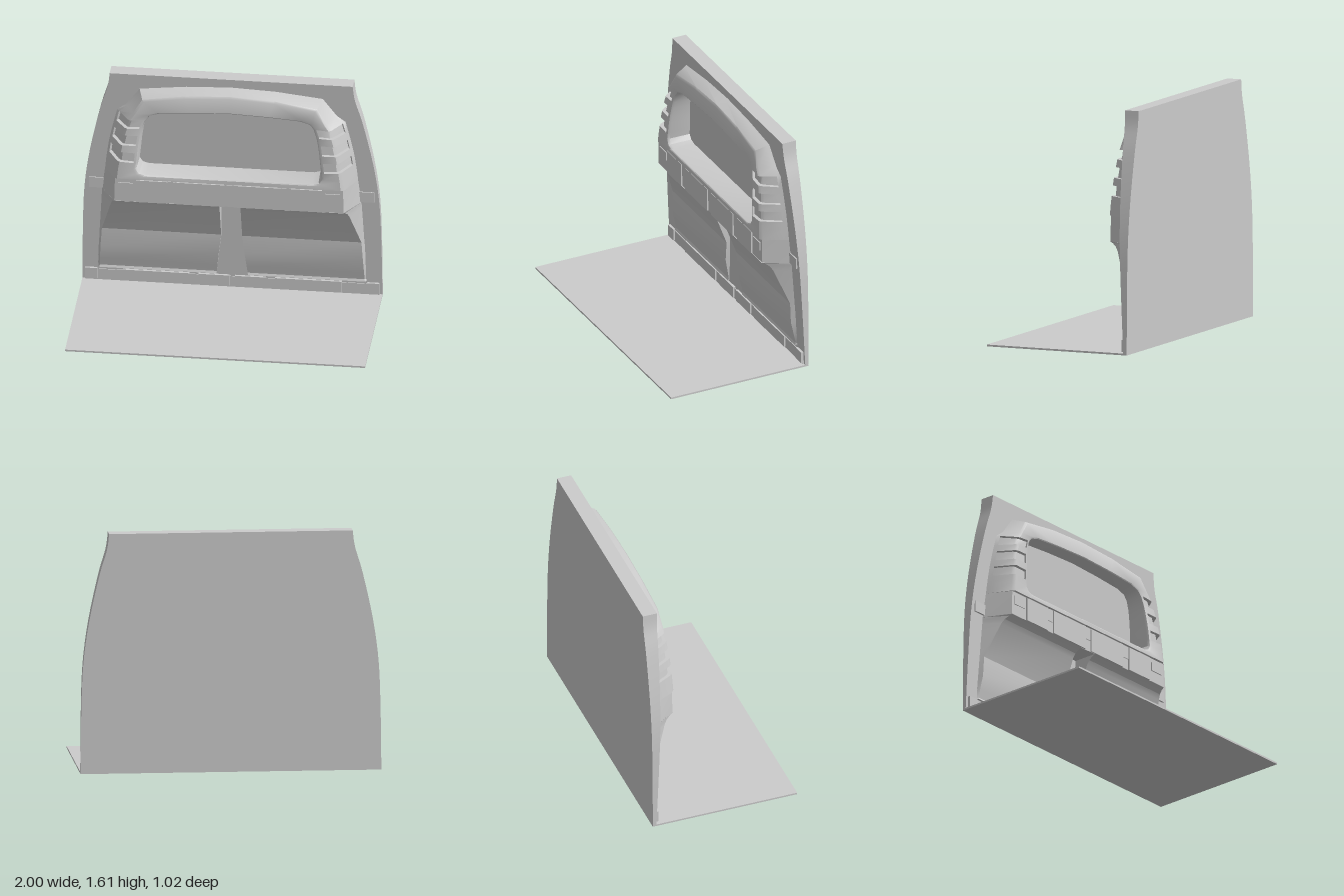
import * as THREE from 'three';
import { toCreasedNormals } from 'three/addons/utils/BufferGeometryUtils.js';

const mat = new THREE.MeshStandardMaterial({ color: 0xcccccc });
const shellMat = new THREE.MeshStandardMaterial({ color: 0xcccccc, side: THREE.DoubleSide });

// Sloping front face of the back wall
const wallZ = (y) => -0.485 + 0.0466 * y;

// Piecewise-linear lookup in [[y, value], ...]
function lookup(table, y) {
  for (let i = 1; i < table.length; i++) {
    const [y0, a] = table[i - 1], [y1, b] = table[i];
    if (y <= y1) return a + (b - a) * Math.max(0, (y - y0) / (y1 - y0));
  }
  return table[table.length - 1][1];
}

// Collects quads into one surface
class Surface {
  constructor() { this.pos = []; }
  quad(a, b, c, d) { this.pos.push(...a, ...b, ...c, ...a, ...c, ...d); }
  mesh(name, crease = 0.5) {
    const g = new THREE.BufferGeometry();
    g.setAttribute('position', new THREE.Float32BufferAttribute(this.pos, 3));
    const m = new THREE.Mesh(toCreasedNormals(g, crease), shellMat);
    m.name = name;
    return m;
  }
}

function box(name, x0, x1, y0, y1, z0, z1) {
  const m = new THREE.Mesh(new THREE.BoxGeometry(x1 - x0, y1 - y0, z1 - z0), mat);
  m.position.set((x0 + x1) / 2, (y0 + y1) / 2, (z0 + z1) / 2);
  m.name = name;
  return m;
}

// Tapered wall with curved sides
function makeWall() {
  const side = new THREE.SplineCurve([[1, 0], [0.995, 0.4], [0.982, 0.73], [0.943, 1.02], [0.875, 1.33],
    [0.825, 1.5], [0.81, 1.61]].map(([x, y]) => new THREE.Vector2(x, y))).getPoints(24);
  const mirror = side.map((p) => new THREE.Vector2(-p.x, p.y)).reverse();
  const raw = new THREE.ExtrudeGeometry(new THREE.Shape([...side, ...mirror]), { depth: 1, bevelEnabled: false });
  const p = raw.attributes.position;
  for (let i = 0; i < p.count; i++) p.setZ(i, p.getZ(i) > 0.5 ? wallZ(p.getY(i)) : -0.51);
  const m = new THREE.Mesh(toCreasedNormals(raw, 0.4), mat);
  m.name = 'backWall';
  return m;
}

// Half outlines with matching points: bottom centre, up the side, to top centre
const windowHalf = [[0, 0.93], [0.55, 0.93], [0.592, 0.942], [0.612, 0.975], [0.607, 1.02], [0.6, 1.09], [0.595, 1.14],
  [0.585, 1.21], [0.575, 1.26], [0.555, 1.32], [0.525, 1.355], [0.46, 1.375], [0.25, 1.39], [0, 1.4]];
const frontHalf = [[0, 0.89], [0.6, 0.89], [0.76, 0.89], [0.75, 0.96], [0.74, 1.02], [0.73, 1.09], [0.72, 1.14],
  [0.705, 1.21], [0.69, 1.26], [0.67, 1.32], [0.64, 1.365], [0.58, 1.465], [0.3, 1.507], [0, 1.522]];
const baseHalf = [[0, 0.89], [0.6, 0.89], [0.845, 0.89], [0.838, 0.96], [0.83, 1.02], [0.82, 1.09], [0.81, 1.14],
  [0.795, 1.21], [0.783, 1.26], [0.765, 1.335], [0.705, 1.38], [0.612, 1.505], [0.3, 1.54], [0, 1.553]];
const ventCells = [4, 6, 8];
const frontZ = (y) => lookup([[0.89, -0.27], [1.1, -0.28], [1.52, -0.322]], y);

// Raised window surround with three recessed vents on each side
function makeFrame() {
  const ring = (half, z) => {
    const right = half.map(([x, y]) => [x, y, z(y)]);
    return [...right, ...right.slice(1, -1).reverse().map(([x, y, d]) => [-x, y, d])];
  };
  const grow = (k) => windowHalf.map(([x, y]) => [x * (1 + k), 1.16 + (y - 1.16) * (1 + k)]);
  const blend = (a, b, t) => a.map((p, i) => p.map((v, j) => v + (b[i][j] - v) * t));
  const front = ring(frontHalf, frontZ);
  const base = ring(baseHalf, (y) => wallZ(y) - 0.005);
  const rings = [
    ring(windowHalf, (y) => wallZ(y) - 0.005),
    ring(grow(0.008), (y) => frontZ(y) - 0.02),
    ring(grow(0.02), (y) => frontZ(y) - 0.005),
    ring(grow(0.045), frontZ),
    blend(front, rings3(), 0.1),
    blend(front, base, 0.1),
    blend(front, base, 0.8),
    base,
  ];
  function rings3() { return ring(grow(0.045), frontZ); }
  const s = new Surface(), n = front.length;
  const vents = new Set(ventCells.flatMap((k) => [k, n - 1 - k]));
  const sink = ([x, y, z]) => [x - Math.sign(x) * 0.012, y, z - 0.024];
  for (let i = 0; i < n; i++) {
    const j = (i + 1) % n;
    for (let r = 0; r + 1 < rings.length; r++) {
      const q = [rings[r][i], rings[r + 1][i], rings[r + 1][j], rings[r][j]];
      if (!vents.has(i) || r < 3 || r > 5) { s.quad(...q); continue; }
      // Recess floor and its walls
      const d = q.map(sink);
      s.quad(...d);
      s.quad(q[0], q[1], d[1], d[0]);
      s.quad(q[2], q[3], d[3], d[2]);
      if (r === 3) s.quad(q[3], q[0], d[0], d[3]);
      if (r === 5) s.quad(q[1], q[2], d[2], d[1]);
    }
  }
  return s.mesh('windowFrame', 0.6);
}

// Outer base line of the lower panels
const baseX = (y) => lookup([[0.11, 0.9], [0.42, 0.885], [0.72, 0.868], [0.89, 0.845]], y);

// Horizontal rail under the window
function makeRail() {
  const s = new Surface();
  const row = (y, xf, z) => [[-baseX(y), y, wallZ(y) - 0.005], [-xf, y, z], [xf, y, z], [baseX(y), y, wallZ(y) - 0.005]];
  const a = row(0.72, 0.765, -0.284), b = row(0.89, 0.76, -0.284);
  for (let i = 0; i < 3; i++) s.quad(a[i], a[i + 1], b[i + 1], b[i]);
  s.quad(a[0], a[3], a[2], a[1]);
  s.quad(b[0], b[1], b[2], b[3]);
  return s.mesh('rail');
}

// Sloped lower panel on one side of the central slot: [y, z, inner x, outer x]
function makeLowerPanel(side) {
  const rows = [[0.11, -0.466, 0.105, 0.885], [0.125, -0.473, 0.103, 0.882], [0.18, -0.462, 0.097, 0.88],
    [0.28, -0.441, 0.086, 0.875], [0.42, -0.44, 0.07, 0.865], [0.66, -0.35, 0.07, 0.795],
    [0.69, -0.33, 0.07, 0.783], [0.71, -0.302, 0.07, 0.77], [0.72, -0.28, 0.07, 0.765]]
    .map(([y, z, xi, xo]) => [[xi, wallZ(y) - 0.005], [xi, z], [xo, z], [baseX(y), wallZ(y) - 0.005]]
      .map(([x, d]) => [side * x, y, d]));
  const s = new Surface();
  const put = (a, b, c, d) => (side > 0 ? s.quad(a, b, c, d) : s.quad(d, c, b, a));
  for (let r = 0; r + 1 < rows.length; r++)
    for (let i = 0; i < 3; i++) put(rows[r][i], rows[r][i + 1], rows[r + 1][i + 1], rows[r + 1][i]);
  put(rows[0][0], rows[0][3], rows[0][2], rows[0][1]);
  return s.mesh(side > 0 ? 'lowerPanelLeft' : 'lowerPanelRight', 0.35);
}

export function createModel() {
  const model = new THREE.Group();
  model.name = 'bulkhead';
  model.add(box('floor', -1, 1, 0, 0.012, -0.51, 0.51));
  model.add(makeWall(), makeFrame(), makeRail());

  // Sill strip behind its raised blocks
  model.add(box('sillStrip', -0.98, 0.98, 0.012, 0.09, -0.5, -0.475));
  model.add(box('railCentreClip', -0.025, 0.025, 0.8, 0.885, -0.3, -0.279));
  for (const s of [1, -1]) {
    const add = (name, x0, x1, ...rest) =>
      model.add(box(name, Math.min(s * x0, s * x1), Math.max(s * x0, s * x1), ...rest));
    model.add(makeLowerPanel(s));
    // Cover plates and clips along the rail
    for (const [a, b] of [[0.03, 0.35], [0.41, 0.62]]) add('railPlate', a, b, 0.722, 0.885, -0.3, -0.274);
    add('railClip', 0.355, 0.405, 0.8, 0.885, -0.3, -0.279);
    add('railEndPlate', 0.64, 0.74, 0.8, 0.86, -0.3, -0.277);
    // Side tab reaching towards the wall edge
    add('sideTab', 0.8, 0.95, 0.725, 0.8, -0.47, -0.44);
    // Raised sill blocks
    for (const [a, b] of [[0.02, 0.225], [0.285, 0.73], [0.9, 0.98]])
      add('sillBlock', a, b, 0.02, 0.1, -0.5, -0.464);
  }
  return model;
}
